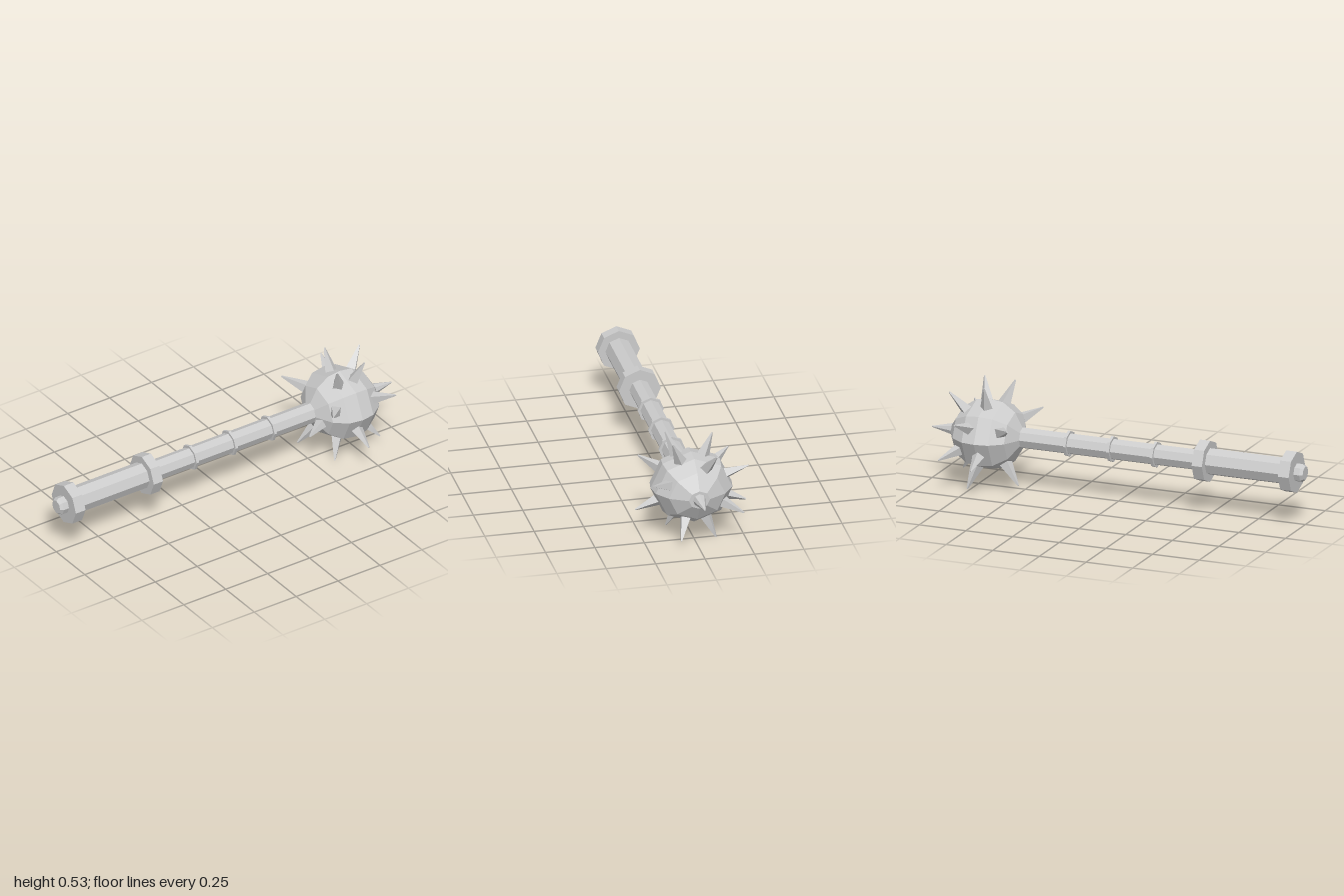
import * as THREE from 'three';

const AXIS_Y = 0.265;
const BALL_X = 0.69;
const material = new THREE.MeshStandardMaterial({ color: 0xcccccc, flatShading: true });

// Eight-sided solid of revolution around the x axis from [x, radius] pairs
function turned(name, profile) {
  const points = profile.map(([x, r]) => new THREE.Vector2(r, x));
  const geometry = new THREE.LatheGeometry(points, 8).rotateZ(-Math.PI / 2);
  const mesh = new THREE.Mesh(geometry, material);
  mesh.name = name;
  mesh.position.y = AXIS_Y;
  return mesh;
}

const rod = (name, x0, x1, r) => turned(name, [[x0, 0], [x0, r], [x1, r], [x1, 0]]);

// Four-sided spike whose axis runs from the ball's centre through the tip
function spike(tip) {
  const centre = new THREE.Vector3(BALL_X, AXIS_Y, 0);
  const root = centre.clone().lerp(tip, 0.5);
  const length = root.distanceTo(tip);
  const mesh = new THREE.Mesh(new THREE.CylinderGeometry(0.004, 0.038, length, 4), material);
  mesh.name = 'spike';
  mesh.position.copy(root).lerp(tip, 0.5);
  mesh.quaternion.setFromUnitVectors(new THREE.Vector3(0, 1, 0), tip.clone().sub(root).normalize());
  return mesh;
}

export function createModel() {
  const model = new THREE.Group();
  model.name = 'spikedMace';

  // Handle
  model.add(
    turned('pommel', [[-1, 0], [-1, 0.035], [-0.985, 0.046], [-0.95, 0.046], [-0.95, 0]]),
    rod('endCollar', -0.955, -0.897, 0.106),
    rod('grip', -0.9, -0.485, 0.068),
    rod('gripCollar', -0.49, -0.435, 0.106),
    rod('shaft', -0.44, 0.56, 0.053)
  );
  for (const x of [-0.2, 0.033, 0.265]) model.add(rod('shaftRing', x - 0.007, x + 0.007, 0.066));

  // Ball, slightly wider in z than in y
  const ball = turned('ball', [
    [0.512, 0], [0.512, 0.047], [0.555, 0.125], [0.62, 0.17], [0.69, 0.18],
    [0.76, 0.17], [0.83, 0.125], [0.878, 0.047], [0.878, 0]
  ]);
  ball.scale.z = 1.14;
  model.add(ball);
  model.add(turned('tipSpike', [[0.865, 0], [0.865, 0.036], [1, 0.003], [1, 0]]));

  // Spike tips as [x, y offset from the axis, z], two per facet of the ball
  const tips = [
    [0.5, 0.095, 0.225], [0.87, 0.095, 0.23],
    [0.6, 0.257, 0.11], [0.765, 0.26, 0.11],
    [0.675, 0.264, -0.11], [0.87, 0.22, -0.09],
    [0.5, 0.095, -0.23], [0.765, 0.11, -0.273],
    [0.675, -0.115, -0.28], [0.87, -0.095, -0.227],
    [0.5, -0.22, -0.09], [0.765, -0.263, -0.11],
    [0.59, -0.254, 0.105], [0.87, -0.22, 0.09],
    [0.43, -0.048, 0.12], [0.675, -0.115, 0.28]
  ];
  const spikes = new THREE.Group();
  spikes.name = 'spikes';
  for (const [x, y, z] of tips) spikes.add(spike(new THREE.Vector3(x, AXIS_Y + y, z)));
  model.add(spikes);

  return model;
}
